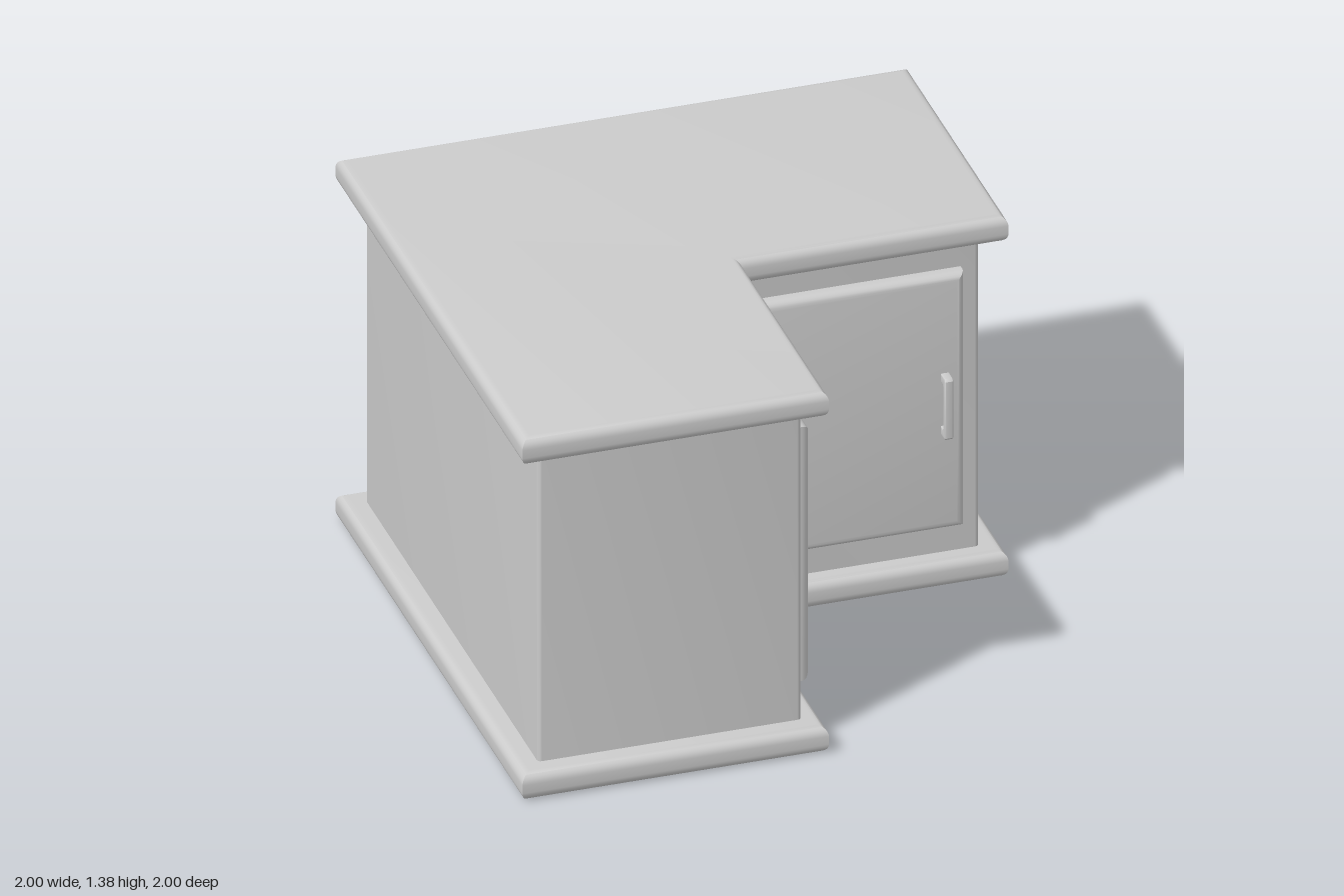
import * as THREE from 'three';
import { toCreasedNormals } from 'three/addons/utils/BufferGeometryUtils.js';

const material = new THREE.MeshStandardMaterial({ color: 0xcccccc });

function addMesh(parent, name, geometry) {
  const mesh = new THREE.Mesh(toCreasedNormals(geometry, 0.6), material);
  mesh.name = name;
  parent.add(mesh);
  return mesh;
}

// L-shaped outline: outer reach r, inner corner at (c, c); plan z is -y of the shape
function lCorners(r, c) {
  return [[-r, r], [-r, -r], [c, -r], [c, -c], [r, -c], [r, r]].map(([x, y]) => new THREE.Vector2(x, y));
}

// Shape from corners, each softened by a small radius
function roundedShape(corners, radius) {
  const shape = new THREE.Shape();
  corners.forEach((p, i) => {
    const n = corners.length;
    const toward = (q) => p.clone().add(q.clone().sub(p).setLength(radius));
    const a = toward(corners[(i + n - 1) % n]);
    const b = toward(corners[(i + 1) % n]);
    if (i === 0) shape.moveTo(a.x, a.y);
    else shape.lineTo(a.x, a.y);
    shape.quadraticCurveTo(p.x, p.y, b.x, b.y);
  });
  shape.closePath();
  return shape;
}

// Slab with half-round edges and mitred corners
function addSlab(parent, name, y) {
  const round = 0.035, height = 0.1;
  const geometry = new THREE.ExtrudeGeometry(new THREE.Shape(lCorners(1 - round, 0.07 - round)), {
    depth: height - 2 * round, bevelThickness: round, bevelSize: round, bevelSegments: 6,
  });
  geometry.rotateX(-Math.PI / 2).translate(0, y + round, 0);
  addMesh(parent, name, geometry);
}

// Door panel with rounded rim and a bow handle, facing +z
function createDoor(name, width, handleX, handleReach) {
  const door = new THREE.Group();
  door.name = name;
  const height = 0.97, rim = 0.03, front = 0.05;
  const w = width / 2 - rim, h = height / 2 - rim;
  const panel = new THREE.Shape([[-w, -h], [w, -h], [w, h], [-w, h]].map(([x, y]) => new THREE.Vector2(x, y)));
  const panelGeometry = new THREE.ExtrudeGeometry(panel, {
    depth: 0.03, bevelThickness: rim, bevelSize: rim, bevelSegments: 5,
  });
  addMesh(door, 'doorPanel', panelGeometry.translate(0, 0, front - rim - 0.03));

  // Handle side profile: x is the reach from the door, y is up
  const e = 0.004, back = front - 0.008, reach = handleReach - e, bar = handleReach - 0.02;
  const profile = new THREE.Shape([
    [back, -0.112], [reach - 0.006, -0.112], [reach, -0.106], [reach, 0.106], [reach - 0.006, 0.112],
    [back, 0.112], [back, 0.088], [bar - 0.006, 0.088], [bar, 0.08],
    [bar, -0.08], [bar - 0.006, -0.088], [back, -0.088],
  ].map(([x, y]) => new THREE.Vector2(x, y)));
  const handleGeometry = new THREE.ExtrudeGeometry(profile, {
    depth: 0.022, bevelThickness: e, bevelSize: e, bevelSegments: 3,
  });
  handleGeometry.translate(0, 0, -0.011).rotateY(-Math.PI / 2);
  addMesh(door, 'handle', handleGeometry.translate(handleX, 0, 0));
  return door;
}

export function createModel() {
  const model = new THREE.Group();
  model.name = 'cornerCabinet';

  addSlab(model, 'basePlinth', 0);
  addSlab(model, 'worktop', 1.28);

  // Cabinet body with softened upright edges
  const body = new THREE.ExtrudeGeometry(roundedShape(lCorners(0.92, 0), 0.015), {
    depth: 1.2, bevelEnabled: false, curveSegments: 4,
  });
  addMesh(model, 'cabinetBody', body.rotateX(-Math.PI / 2).translate(0, 0.09, 0));

  // Two doors facing into the inner corner
  const frontDoor = createDoor('frontDoor', 0.785, 0.322, 0.098);
  frontDoor.position.set(0.463, 0.695, 0);
  const sideDoor = createDoor('sideDoor', 0.725, 0.293, 0.084);
  sideDoor.position.set(0, 0.695, 0.498);
  sideDoor.rotation.y = Math.PI / 2;
  model.add(frontDoor, sideDoor);

  return model;
}
